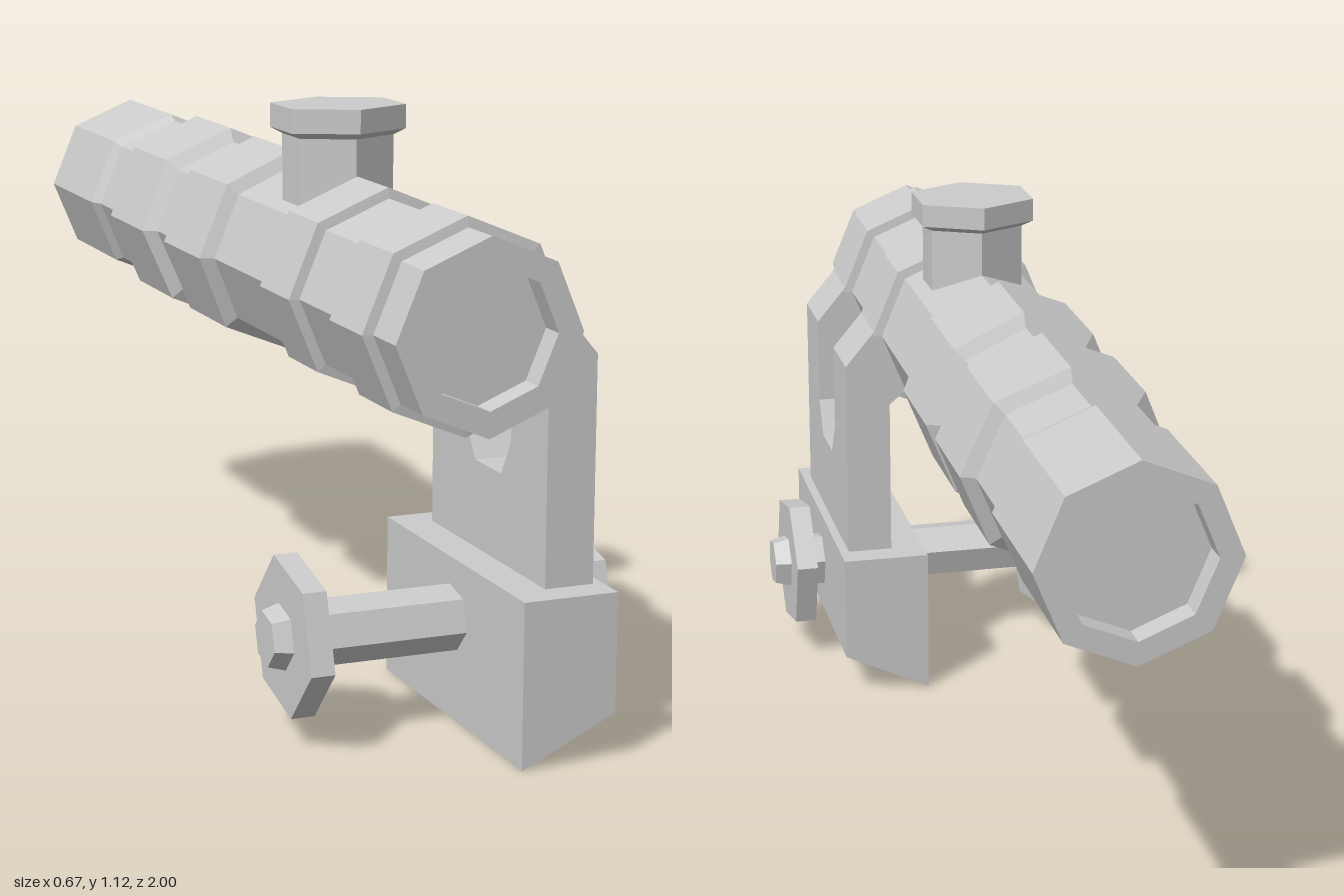
import * as THREE from 'three';

const material = new THREE.MeshStandardMaterial({ color: 0xcccccc, flatShading: true });
const AXIS_X = -0.05, AXIS_Y = 0.8;

function add(parent, name, geometry) {
  const mesh = new THREE.Mesh(geometry, material);
  mesh.name = name;
  parent.add(mesh);
  return mesh;
}

const lathe = (profile, sides, start = 0) =>
  new THREE.LatheGeometry(profile.map(([r, h]) => new THREE.Vector2(r, h)), sides, start);

// Octagonal turned part lying along z; profile is [radius, z] from back to front
const barrelPart = (profile) =>
  lathe(profile, 8).rotateX(Math.PI / 2).translate(AXIS_X, AXIS_Y, 0);

// Raised band with bevelled edges, sheared along z so it sits at a slant
function band(z, half, bevel, r, slantX = 0, slantY = 0) {
  const g = barrelPart([
    [0.165, z - half - bevel], [r, z - half], [r, z + half], [0.165, z + half + bevel],
  ]);
  const p = g.attributes.position;
  for (let i = 0; i < p.count; i++) {
    p.setZ(i, p.getZ(i) + slantX * (p.getX(i) - AXIS_X) + slantY * (p.getY(i) - AXIS_Y));
  }
  return g;
}

const extrude = (points, depth) => new THREE.ExtrudeGeometry(
  new THREE.Shape(points.map(([x, y]) => new THREE.Vector2(x, y))),
  { depth, bevelEnabled: false });

// Six-sided turned part lying along x, for the clamping screw
const screwPart = (profile) =>
  lathe(profile, 6, THREE.MathUtils.degToRad(13)).rotateZ(-Math.PI / 2).translate(0, 0.2, 0.66);

export function createModel() {
  const model = new THREE.Group();
  model.name = 'scope';

  // Main tube with recessed lenses at both ends
  add(model, 'tube', barrelPart([
    [0, -0.95], [0.142, -0.95], [0.142, -1], [0.188, -1], [0.188, -0.7], [0.176, -0.67],
    [0.176, 1], [0.128, 1], [0.128, 0.95], [0, 0.95],
  ]));

  // Slanted wrapped bands
  add(model, 'frontWrap', band(-0.06, 0.11, 0.02, 0.204, -0.14, 0.04));
  add(model, 'rearWrap', band(-0.395, 0.11, 0.02, 0.204, 0, -0.1));

  // Adjustment knob on top: hexagonal stem and cap
  const knob = new THREE.Group();
  knob.name = 'knob';
  knob.position.set(AXIS_X, 0, 0.3);
  knob.scale.x = 1.17;
  add(knob, 'knobStem', lathe([[0, 0.92], [0.094, 0.92], [0.094, 1.07]], 6));
  add(knob, 'knobCap', lathe(
    [[0, 1.065], [0.094, 1.065], [0.115, 1.077], [0.115, 1.123], [0, 1.123]], 6));
  model.add(knob);

  // Mount: two rings, each joined to a prong of the side plate
  const mount = new THREE.Group();
  mount.name = 'mount';
  model.add(mount);
  for (const z of [0.475, 0.825]) {
    add(mount, 'ring', band(z, 0.075, 0.004, 0.196));
    add(mount, 'prong', extrude(
      [[0.11, 0.645], [0.205, 0.645], [0.205, 0.735], [0.142, 0.81], [0.085, 0.665]], 0.15)
      .translate(0, 0, z - 0.075));
  }
  add(mount, 'sidePlate', extrude([
    [0.4, 0.3], [0.9, 0.3], [0.9, 0.645], [0.75, 0.645], [0.75, 0.55], [0.71, 0.48],
    [0.595, 0.48], [0.55, 0.55], [0.55, 0.645], [0.4, 0.645],
  ], 0.095).rotateY(-Math.PI / 2).translate(0.205, 0, 0));

  // Base block with a sloping underside
  add(mount, 'base', extrude(
    [[0.04, 0], [0.224, 0.087], [0.224, 0.312], [0.04, 0.312]], 0.62).translate(0, 0, 0.342));

  // Clamping screw through the base with a hexagonal nut near each end
  add(mount, 'screw', screwPart([
    [0, -0.335], [0.052, -0.335], [0.062, -0.3], [0.062, 0.3], [0.052, 0.335], [0, 0.335],
  ]));
  for (const x of [-0.278, 0.278]) {
    add(mount, 'nut', screwPart([
      [0, x - 0.023], [0.15, x - 0.023], [0.15, x + 0.023], [0, x + 0.023],
    ]));
  }

  return model;
}
